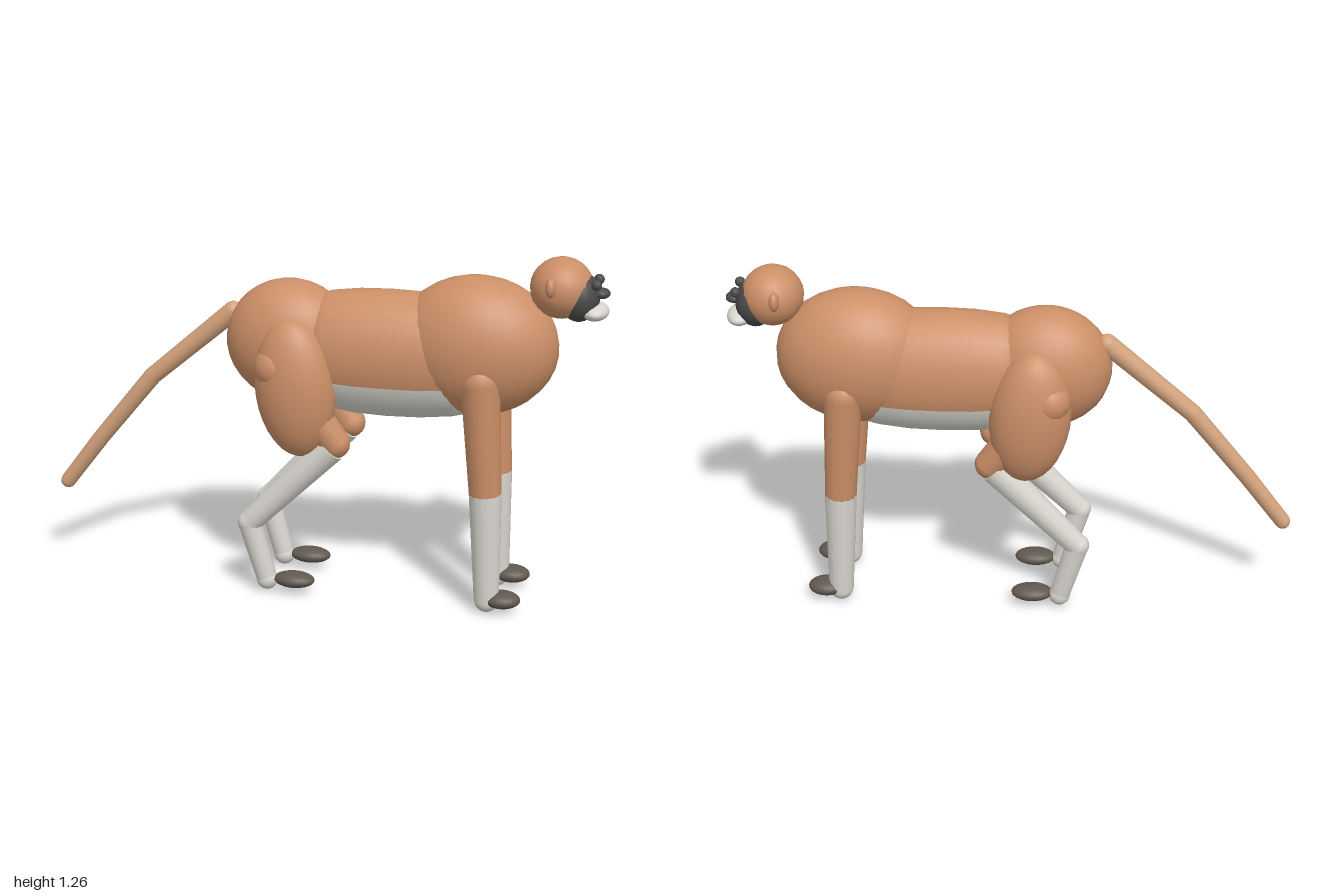
import * as THREE from 'three';

const material = (name, color) => {
  const m = new THREE.MeshStandardMaterial({ color });
  m.name = name;
  return m;
};

export function createModel() {
  const fur = material('russet fur', 0xcb8f67);
  const pale = material('pale fur', 0xd8d5ce);
  const tan = material('tan tail', 0xd2a27c);
  const face = material('dark face skin', 0x4b4a49);
  const sole = material('foot skin', 0x5f584f);

  const model = new THREE.Group();
  model.name = 'monkey';

  const add = (parent, name, geometry, mat) => {
    const mesh = new THREE.Mesh(geometry, mat);
    mesh.name = name;
    parent.add(mesh);
    return mesh;
  };

  // Ellipsoid with its centre and three radii
  const ball = (parent, name, mat, centre, radii, seg = 20) => {
    const mesh = add(parent, name, new THREE.SphereGeometry(1, seg, Math.round(seg * 0.7)), mat);
    mesh.position.set(...centre);
    mesh.scale.set(...radii);
    return mesh;
  };

  // Tapered limb segment between two joints
  const bone = (parent, name, mat, a, b, ra, rb) => {
    const from = new THREE.Vector3(...a);
    const dir = new THREE.Vector3(...b).sub(from);
    const mesh = add(parent, name, new THREE.CylinderGeometry(rb, ra, dir.length(), 14), mat);
    mesh.position.copy(from).addScaledVector(dir, 0.5);
    mesh.quaternion.setFromUnitVectors(new THREE.Vector3(0, 1, 0), dir.normalize());
    return mesh;
  };
  const joint = (parent, name, mat, p, r) => ball(parent, name, mat, p, [r, r, r], 14);

  // Body: rump and chest joined by a barrel whose underside is pale
  ball(model, 'rump', fur, [-0.115, 0.91, 0], [0.23, 0.22, 0.165], 24);
  ball(model, 'chest', fur, [0.545, 0.935, 0], [0.285, 0.245, 0.19], 24);
  const profile = [[0, -0.1], [0.8, -0.06], [0.93, 0.03], [0.985, 0.13], [1, 0.24],
    [0.985, 0.36], [0.93, 0.47], [0.83, 0.56], [0, 0.64]].map(p => new THREE.Vector2(...p));
  const barrel = (name, mat, start, length) => {
    const g = new THREE.LatheGeometry(profile, 16, start, length);
    g.rotateZ(-Math.PI / 2).scale(1, 0.226, 0.168).translate(0, 0.886, 0);
    add(model, name, g, mat);
  };
  const edge = 0.39;
  barrel('back', fur, Math.PI - edge, Math.PI + 2 * edge);
  barrel('belly', pale, edge, Math.PI - 2 * edge);

  // Head
  const head = new THREE.Group();
  head.name = 'head';
  model.add(head);
  ball(head, 'skull', fur, [0.83, 1.155, 0], [0.108, 0.105, 0.112]);
  ball(head, 'face', face, [0.89, 1.128, 0], [0.07, 0.086, 0.089]);
  ball(head, 'muzzle', pale, [0.945, 1.08, 0], [0.047, 0.03, 0.08]);
  ball(head, 'nose', face, [0.963, 1.143, 0], [0.031, 0.019, 0.033], 14);
  for (const s of [1, -1]) {
    ball(head, 'ear', fur, [0.805, 1.178, s * 0.113], [0.018, 0.034, 0.026], 14);
    ball(head, 'eye', face, [0.95, 1.18, s * 0.045], [0.018, 0.018, 0.018], 12);
  }

  // Legs, mirrored left and right
  for (const s of [1, -1]) {
    const side = s > 0 ? 'left' : 'right';
    const z = s * 0.122;

    const front = new THREE.Group();
    front.name = side + 'FrontLeg';
    model.add(front);
    const shoulder = [0.582, 0.84, s * 0.132], elbow = [0.608, 0.44, z], wrist = [0.622, 0.043, z];
    joint(front, 'shoulder', fur, shoulder, 0.067);
    bone(front, 'upperArm', fur, shoulder, elbow, 0.068, 0.057);
    bone(front, 'forearm', pale, elbow, wrist, 0.057, 0.044);
    joint(front, 'wrist', pale, wrist, 0.043);
    ball(front, 'hand', sole, [0.675, 0.05, z], [0.067, 0.03, 0.053]);

    const hind = new THREE.Group();
    hind.name = side + 'HindLeg';
    model.add(hind);
    const hip = [-0.13, 0.85, s * 0.15], knee = [0.075, 0.58, z];
    const hock = [-0.237, 0.26, s * 0.128], ankle = [-0.175, 0.045, z];
    const thigh = ball(hind, 'thigh', fur, [-0.066, 0.775, s * 0.132], [0.142, 0.248, 0.104], 24);
    thigh.rotation.z = 0.1;
    joint(hind, 'hip', fur, hip, 0.078);
    bone(hind, 'lowerThigh', fur, hip, knee, 0.075, 0.054);
    joint(hind, 'knee', fur, knee, 0.054);
    bone(hind, 'shin', pale, [0.06, 0.565, z], hock, 0.056, 0.042);
    joint(hind, 'hock', pale, hock, 0.043);
    bone(hind, 'lowerShin', pale, hock, ankle, 0.042, 0.037);
    joint(hind, 'ankle', pale, ankle, 0.039);
    ball(hind, 'foot', sole, [-0.075, 0.051, z], [0.075, 0.028, 0.048]);
  }

  // Tail: three tapering segments with rounded joints
  const tail = new THREE.Group();
  tail.name = 'tail';
  model.add(tail);
  const path = [[-0.325, 1, 0], [-0.63, 0.74, 0], [-0.835, 0.49, 0], [-0.972, 0.31, 0]];
  const radii = [0.036, 0.032, 0.03, 0.028];
  path.forEach((p, i) => {
    joint(tail, 'tailJoint', tan, p, radii[i]);
    if (i < 3) bone(tail, 'tailSegment', tan, p, path[i + 1], radii[i], radii[i + 1]);
  });

  return model;
}
